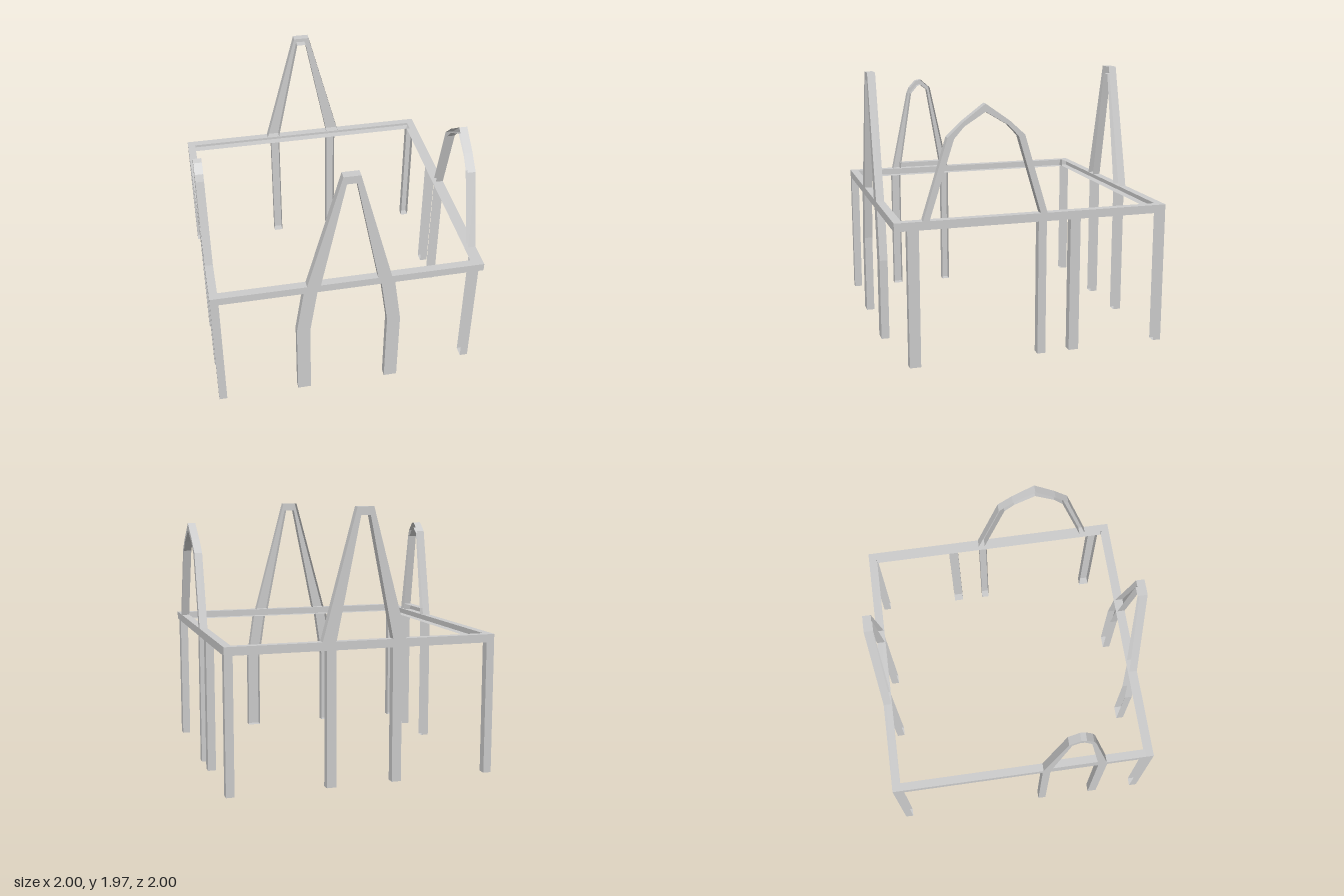
import * as THREE from 'three';

const DEPTH = 0.06;
const material = new THREE.MeshStandardMaterial({ color: 0xcccccc, side: THREE.DoubleSide, flatShading: true });

// Thin channel: extruded outline, left open on the side facing the middle
function channel(name, points) {
  const shape = new THREE.Shape(points.map(([x, y]) => new THREE.Vector2(x, y)));
  const solid = new THREE.ExtrudeGeometry(shape, { depth: DEPTH, bevelEnabled: false });
  const p = solid.toNonIndexed ? solid.attributes.position.array : [];
  const kept = [];
  for (let i = 0; i < p.length; i += 9) {
    const inner = Math.max(p[i + 2], p[i + 5], p[i + 8]) < 1e-6;
    if (!inner) kept.push(...p.slice(i, i + 9));
  }
  const geometry = new THREE.BufferGeometry();
  geometry.setAttribute('position', new THREE.Float32BufferAttribute(kept, 3));
  geometry.computeVertexNormals();
  const mesh = new THREE.Mesh(geometry, material);
  mesh.name = name;
  return mesh;
}

const bar = (name, x0, x1, y0, y1) => channel(name, [[x0, y0], [x1, y0], [x1, y1], [x0, y1]]);
const post = (name, x0, x1) => bar(name, x0, x1, 0, 0.98);
const flip = (points) => points.map(([x, y]) => [-x, y]);

// One side of the frame; its local +z points outwards
function side(name, angle, parts) {
  const group = new THREE.Group();
  group.name = name;
  group.add(...parts);
  group.rotation.y = angle;
  group.position.set(Math.sin(angle), 0, Math.cos(angle)).multiplyScalar(1 - DEPTH);
  return group;
}

export function createModel() {
  const model = new THREE.Group();
  model.name = 'archedFrame';

  // Pointed arch shared by front and back
  const spire = [
    [-0.31, 1.04], [-0.21, 1.04], [-0.035, 1.905], [0.035, 1.905], [0.21, 1.04],
    [0.31, 1.04], [0.06, 1.965], [-0.06, 1.965],
  ];
  const bentLeg = [[0.29, 0], [0.39, 0], [0.39, 0.61], [0.335, 0.98], [0.235, 0.98], [0.29, 0.61]];

  model.add(side('frontSide', 0, [
    bar('frontBeam', -1, 1, 0.98, 1.04),
    channel('frontArch', spire),
    channel('frontLegLeft', bentLeg),
    channel('frontLegRight', flip(bentLeg)),
    post('frontCornerPost', -1, -0.94),
  ]));

  model.add(side('backSide', Math.PI, [
    bar('backBeam', -1, 1, 0.98, 1.04),
    channel('backArch', spire),
    ...[-1, 0.94].map((x) => post('backCornerPost', x, x + 0.06)),
    ...[-0.28, 0.21].map((x) => post('backLeg', x, x + 0.07)),
  ]));

  // Left side: broad faceted arch, outlines given as [z, y]
  const broadArch = [
    [0.8, 1.04], [0.625, 1.6], [0.52, 1.7], [0.36, 1.82], [0.19, 1.7], [0.08, 1.6], [-0.09, 1.04],
    [-0.04, 1.04], [0.125, 1.59], [0.2, 1.67], [0.36, 1.765], [0.51, 1.67], [0.58, 1.59], [0.755, 1.04],
  ];
  model.add(side('leftSide', Math.PI / 2, [
    bar('leftBeam', -0.94, 0.94, 0.98, 1.04),
    channel('leftArch', flip(broadArch)),
    ...[[-0.91, -0.83], [0.025, 0.085], [0.265, 0.34]].map(([a, b]) => post('leftLeg', a, b)),
  ]));

  // Right side: narrow arch with a sill
  const narrowArch = [
    [0.635, 1.04], [0.495, 1.69], [0.475, 1.74], [0.42, 1.8], [0.38, 1.81], [0.3, 1.74], [0.15, 1.04],
    [0.21, 1.04], [0.325, 1.72], [0.38, 1.765], [0.41, 1.755], [0.465, 1.69], [0.57, 1.04],
  ];
  model.add(side('rightSide', -Math.PI / 2, [
    bar('rightBeam', -0.94, 0.94, 0.98, 1.04),
    channel('rightArch', narrowArch),
    bar('rightSill', 0.21, 0.57, 1.04, 1.09),
    ...[[0.145, 0.205], [0.575, 0.645]].map(([a, b]) => post('rightLeg', a, b)),
  ]));

  return model;
}
